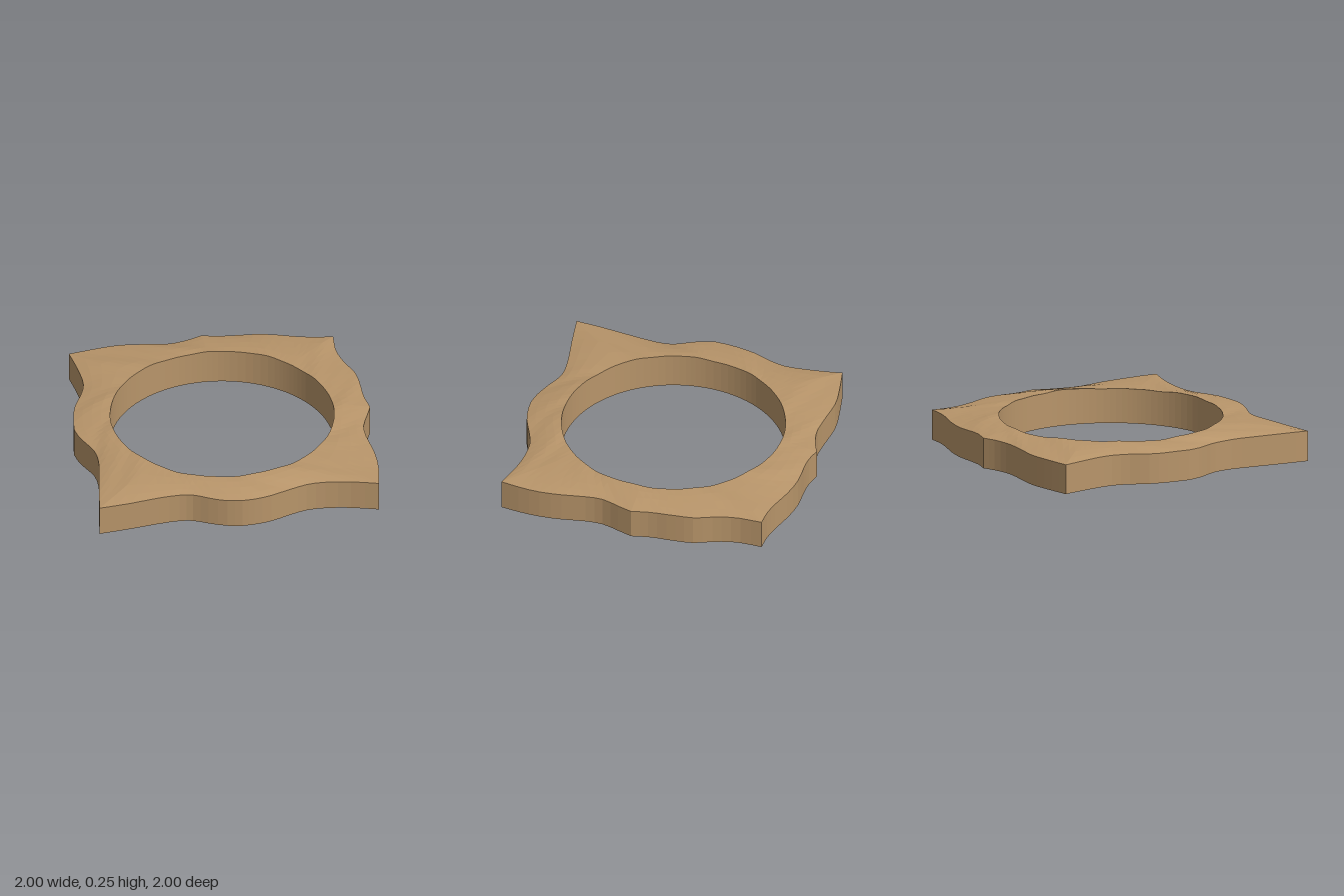
import * as THREE from 'three';

// Outline of the slab as [x, z]; each run ends at a corner or an edge midpoint
const runs = [
  [[-0.91, -0.91], [-0.75, -0.94], [-0.57, -0.965], [-0.4, -0.95], [-0.23, -0.935], [-0.1, -0.96], [0, -1]],
  [[0, -1], [0.1, -0.975], [0.2, -0.97], [0.35, -0.972], [0.5, -0.945], [0.65, -0.9], [0.76, -0.878], [0.87, -0.872]],
  [[0.87, -0.872], [0.867, -0.7], [0.9, -0.56], [0.955, -0.42], [0.97, -0.28], [0.975, -0.13], [1, 0]],
  [[1, 0], [0.965, 0.1], [0.925, 0.22], [0.925, 0.34], [0.95, 0.5], [0.96, 0.65], [0.95, 0.8], [0.93, 0.925]],
  [[0.93, 0.925], [0.75, 0.88], [0.58, 0.86], [0.45, 0.868], [0.33, 0.91], [0.2, 0.965], [0.08, 0.99], [0, 0.995]],
  [[0, 0.995], [-0.1, 0.98], [-0.22, 0.935], [-0.32, 0.89], [-0.41, 0.88], [-0.55, 0.895], [-0.75, 0.93], [-0.96, 0.96]],
  [[-0.96, 0.96], [-0.94, 0.78], [-0.91, 0.57], [-0.89, 0.4], [-0.9, 0.27], [-0.945, 0.17], [-0.98, 0.09], [-1, 0]],
  [[-1, 0], [-0.985, -0.15], [-0.955, -0.28], [-0.9, -0.4], [-0.865, -0.52], [-0.87, -0.65], [-0.89, -0.8], [-0.91, -0.91]],
];
const HOLE = 0.75;
const STEPS = 14; // samples per run
const BANDS = 4;  // strips across the worn top

function outline() {
  return runs.flatMap((run) => {
    const curve = new THREE.CatmullRomCurve3(run.map(([x, z]) => new THREE.Vector3(x, 0, z)));
    return curve.getPoints(STEPS).slice(0, -1);
  });
}

// Gently uneven top, highest near the hole and falling to the rim
function topHeight(angle, t) {
  const wave = 0.004 * Math.sin(5 * angle + 1 + 2 * t) + 0.003 * Math.sin(11 * angle + 5 * t)
    + 0.0015 * Math.sin(23 * angle + 9 * t);
  return 0.24 - 0.034 * t ** 1.5 + wave * (1 - 0.45 * t);
}

// Closed cross-section from the hole to the outer wall and back over the top
function section(edge) {
  const angle = Math.atan2(edge.z, edge.x);
  const inner = new THREE.Vector3(HOLE * Math.cos(angle), 0, HOLE * Math.sin(angle));
  const points = [inner, edge];
  for (let k = BANDS; k >= 0; k--) {
    const p = inner.clone().lerp(edge, k / BANDS);
    p.y = topHeight(angle, k / BANDS);
    points.push(p);
  }
  return points;
}

function slabGeometry() {
  const sections = outline().map(section);
  const positions = [];
  sections.forEach((s, i) => {
    const next = sections[(i + 1) % sections.length];
    for (let j = 0; j < s.length; j++) {
      const k = (j + 1) % s.length;
      for (const p of [s[j], s[k], next[k], s[j], next[k], next[j]]) positions.push(p.x, p.y, p.z);
    }
  });
  const geometry = new THREE.BufferGeometry();
  geometry.setAttribute('position', new THREE.Float32BufferAttribute(positions, 3));
  geometry.computeVertexNormals(); // unshared corners give flat facets
  return geometry;
}

export function createModel() {
  const sandstone = new THREE.MeshStandardMaterial({ color: 0xb8956a });
  sandstone.name = 'sandstone';

  const group = new THREE.Group();
  group.name = 'stoneFrame';
  const slab = new THREE.Mesh(slabGeometry(), sandstone);
  slab.name = 'wavySlabWithRoundHole';
  group.add(slab);
  return group;
}
